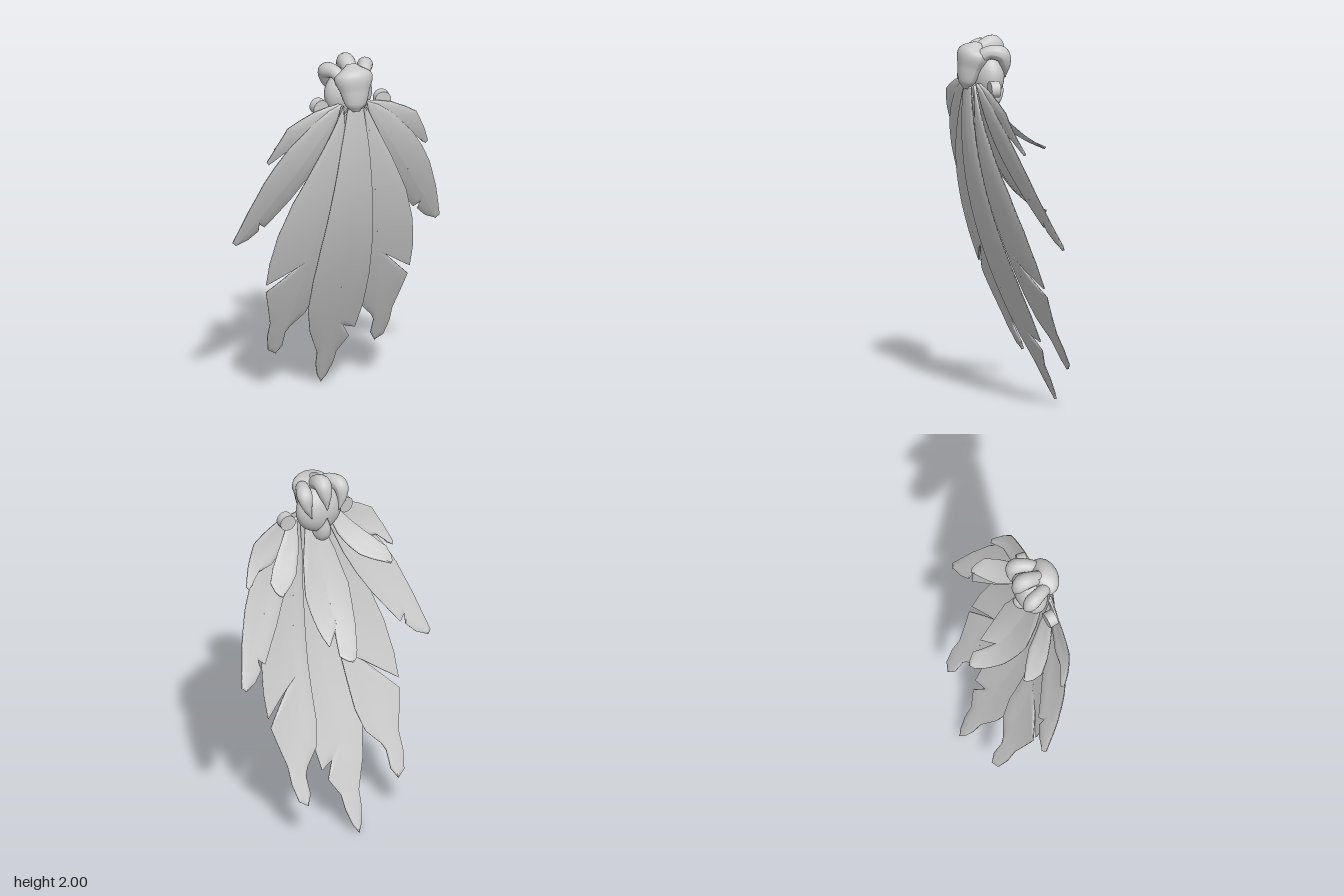
import * as THREE from 'three';

const grey = new THREE.MeshStandardMaterial({ color: 0xcccccc, side: THREE.DoubleSide });

// Smooth function through a few [input, output] pairs
const through = (pts) => (v) => pts.reduce((sum, [xi, yi], i) =>
  sum + pts.reduce((p, [xj], j) => (i === j ? p : p * (v - xj) / (xi - xj)), yi), 0);

// Half a feather blade: slanted rows run from the midrib out to an edge line
function halfBlade(f, edge, rightSide, mirror, pos, idx) {
  const root = new THREE.Vector2(...f.root), tip = new THREE.Vector2(...f.tip);
  const dir = tip.clone().sub(root), len = dir.length();
  dir.normalize();
  const line = [f.root, ...edge, f.tip].map((p) => new THREE.Vector2(...p));
  const start = pos.length / 3, rows = [], SUB = 6;
  for (let i = 0; i < line.length - 1; i++)
    for (let k = i ? 1 : 0; k <= SUB; k++) rows.push(line[i].clone().lerp(line[i + 1], k / SUB));
  let along = 0;
  for (const p of rows) {
    const rel = p.clone().sub(root), w = Math.abs(rel.cross(dir));
    along = Math.min(len, Math.max(along, rel.dot(dir) - w));
    const mid = root.clone().addScaledVector(dir, along);
    for (const [t, side] of [[0, 1], [0.5, 1], [1, 1], [1, -1], [0.5, -1], [0, -1]]) {
      const q = mid.clone().lerp(p, t);
      const off = side * (0.008 - 0.004 * t * t) - 0.6 * (w * t) ** 2;
      const v = f.surface(q.x, q.y);
      pos.push((mirror ? -1 : 1) * v[0], v[1] + f.normal[0] * off, v[2] + f.normal[1] * off);
    }
  }
  for (let i = 0; i < rows.length - 1; i++)
    for (let j = 0; j < 5; j++) {
      const a = start + i * 6 + j, b = a + 1, c = a + 6, d = a + 7;
      if (rightSide !== mirror) idx.push(a, c, b, b, c, d);
      else idx.push(a, b, c, b, d, c);
    }
}

function feather(name, f, mirror = false) {
  const pos = [], idx = [];
  halfBlade(f, f.right, true, mirror, pos, idx);
  halfBlade(f, f.left, false, mirror, pos, idx);
  const g = new THREE.BufferGeometry();
  g.setAttribute('position', new THREE.Float32BufferAttribute(pos, 3));
  g.setIndex(idx);
  g.computeVertexNormals();
  const m = new THREE.Mesh(g, grey);
  m.name = name;
  return m;
}

// Blades hanging down have depth by height; rear blades have height by depth
const hanging = (pts) => {
  const z = through(pts);
  return { surface: (x, y) => [x, y, z(y)], normal: [-0.25, 0.97] };
};
const sweptBack = (pts) => {
  const y = through(pts);
  return { surface: (x, z) => [x, y(z), z], normal: [-0.75, 0.66] };
};

// Tapered round limb through points [x, y, z, radius]
function limb(name, pts) {
  const curve = new THREE.CatmullRomCurve3(pts.map((p) => new THREE.Vector3(p[0], p[1], p[2])));
  const radii = new THREE.SplineCurve(pts.map((p, i) => new THREE.Vector2(i, p[3])));
  const N = 32, R = 16, g = new THREE.TubeGeometry(curve, N, 1, R);
  const v = new THREE.Vector3(), p = g.attributes.position;
  for (let i = 0; i <= N; i++) {
    const c = curve.getPointAt(i / N);
    const r = Math.max(0.002, radii.getPoint(curve.getUtoTmapping(i / N)).y);
    for (let j = 0; j <= R; j++) {
      const k = i * (R + 1) + j;
      v.fromBufferAttribute(p, k).sub(c).multiplyScalar(r).add(c);
      p.setXYZ(k, v.x, v.y, v.z);
    }
  }
  g.computeVertexNormals();
  const m = new THREE.Mesh(g, grey);
  m.name = name;
  return m;
}

const centreFeather = {
  ...hanging([[1.75, 0.235], [1.4, 0.225], [1, 0.145], [0.5, -0.045], [0, -0.28]]),
  root: [0, 1.76], tip: [0, 0],
  right: [[0.045, 1.73], [0.08, 1.5], [0.115, 1.2], [0.145, 0.9], [0.157, 0.7], [0.155, 0.5], [0.135, 0.345],
    [0.06, 0.375], [0.11, 0.29], [0.055, 0.2], [0.048, 0.12], [0.025, 0.04]],
  left: [[-0.045, 1.73], [-0.08, 1.5], [-0.115, 1.2], [-0.145, 0.9], [-0.157, 0.7], [-0.155, 0.5],
    [-0.12, 0.35], [-0.055, 0.2], [-0.048, 0.12], [-0.025, 0.04]],
};
const rearFeather = {
  ...sweptBack([[0.2, 1.74], [0.1, 1.44], [0, 1.23], [-0.1, 1.1], [-0.22, 1.02]]),
  root: [0, 0.2], tip: [0, -0.225],
  right: [[0.05, 0.18], [0.1, 0.12], [0.133, 0.05], [0.125, 0], [0.105, -0.07], [0.085, -0.12],
    [0.02, -0.07], [0.055, -0.175], [0.025, -0.21]],
  left: [[-0.05, 0.18], [-0.1, 0.12], [-0.133, 0.05], [-0.125, 0], [-0.105, -0.07], [-0.055, -0.17], [-0.025, -0.21]],
};
const pairs = {
  LongFeather: {
    ...hanging([[1.74, 0.22], [1.4, 0.2], [1, 0.11], [0.6, -0.04], [0.22, -0.22]]),
    root: [0.06, 1.75], tip: [0.28, 0.22],
    right: [[0.13, 1.6], [0.22, 1.42], [0.32, 1.2], [0.38, 1], [0.405, 0.82], [0.405, 0.69], [0.24, 0.81],
      [0.4, 0.64], [0.345, 0.43], [0.345, 0.34], [0.325, 0.25]],
    left: [[0.05, 1.5], [0.07, 1.2], [0.1, 0.9], [0.12, 0.6], [0.155, 0.48], [0.23, 0.4], [0.25, 0.36], [0.25, 0.27]],
  },
  MiddleFeather: {
    ...hanging([[1.74, 0.21], [1.5, 0.17], [1.2, 0.065], [0.93, -0.06]]),
    root: [0.07, 1.76], tip: [0.565, 0.93],
    right: [[0.14, 1.73], [0.22, 1.67], [0.35, 1.53], [0.42, 1.42], [0.47, 1.32], [0.53, 1.15], [0.585, 0.95]],
    left: [[0.09, 1.68], [0.17, 1.45], [0.23, 1.32], [0.3, 1.2], [0.42, 1.03], [0.455, 1.06], [0.45, 1.01], [0.5, 0.96]],
  },
  UpperFeather: {
    ...hanging([[1.76, 0.2], [1.65, 0.19], [1.55, 0.16], [1.44, 0.11]]),
    root: [0.08, 1.76], tip: [0.445, 1.435],
    right: [[0.14, 1.75], [0.22, 1.73], [0.3, 1.69], [0.365, 1.65], [0.42, 1.54], [0.455, 1.45]],
    left: [[0.13, 1.67], [0.2, 1.58], [0.28, 1.52], [0.38, 1.5], [0.42, 1.45]],
  },
  RearSideFeather: {
    ...sweptBack([[0.2, 1.74], [0.12, 1.58], [0.04, 1.495], [-0.06, 1.44]]),
    root: [0.09, 0.2], tip: [0.335, -0.062],
    right: [[0.17, 0.18], [0.25, 0.13], [0.31, 0.085], [0.36, 0.03], [0.36, -0.02], [0.35, -0.05]],
    left: [[0.12, 0.13], [0.16, 0.08], [0.2, 0.03], [0.26, -0.015]],
  },
};

export function createModel() {
  const model = new THREE.Group();
  model.name = 'featherPendant';

  // Feathers
  model.add(feather('centreFeather', centreFeather), feather('rearFeather', rearFeather));
  for (const [name, f] of Object.entries(pairs))
    model.add(feather('left' + name, f), feather('right' + name, f, true));

  // Orb held by the claw
  const orb = new THREE.Mesh(new THREE.SphereGeometry(1, 40, 28), grey);
  orb.name = 'orb';
  orb.scale.set(0.132, 0.13, 0.085);
  orb.position.set(0, 1.79, 0.125);
  model.add(orb);

  // Claw: palm, three upper toes and a thumb
  const palm = limb('palm', [[0, 1.725, 0.245, 0.015], [0, 1.76, 0.24, 0.042], [0, 1.83, 0.225, 0.06],
    [0, 1.91, 0.2, 0.077], [0, 1.965, 0.17, 0.02]]);
  palm.scale.x = 1.35;
  model.add(palm);
  model.add(limb('centreToe', [[0, 1.88, 0.22, 0.03], [0, 1.935, 0.15, 0.04], [0, 1.952, 0.085, 0.046],
    [0, 1.9, 0.055, 0.034], [0, 1.82, 0.035, 0.003]]));
  for (const s of [1, -1]) {
    model.add(limb(s > 0 ? 'leftToe' : 'rightToe', [[s * 0.05, 1.88, 0.21, 0.035], [s * 0.085, 1.925, 0.15, 0.036],
      [s * 0.11, 1.915, 0.088, 0.042], [s * 0.108, 1.86, 0.065, 0.028], [s * 0.085, 1.785, 0.055, 0.003]]));
  }
  model.add(limb('thumb', [[0, 1.75, 0.22, 0.03], [0, 1.69, 0.15, 0.036], [0, 1.65, 0.095, 0.04],
    [0, 1.69, 0.062, 0.034], [0, 1.77, 0.035, 0.003]]));

  // Beads beside the claw
  for (const s of [1, -1]) {
    const bead = new THREE.Mesh(new THREE.CylinderGeometry(0.044, 0.044, 0.05, 20), grey);
    bead.name = s > 0 ? 'leftBead' : 'rightBead';
    bead.rotation.set(Math.PI / 2, 0, s * 0.12);
    bead.position.set(s * 0.178, 1.745, 0.163);
    model.add(bead);
  }
  return model;
}
